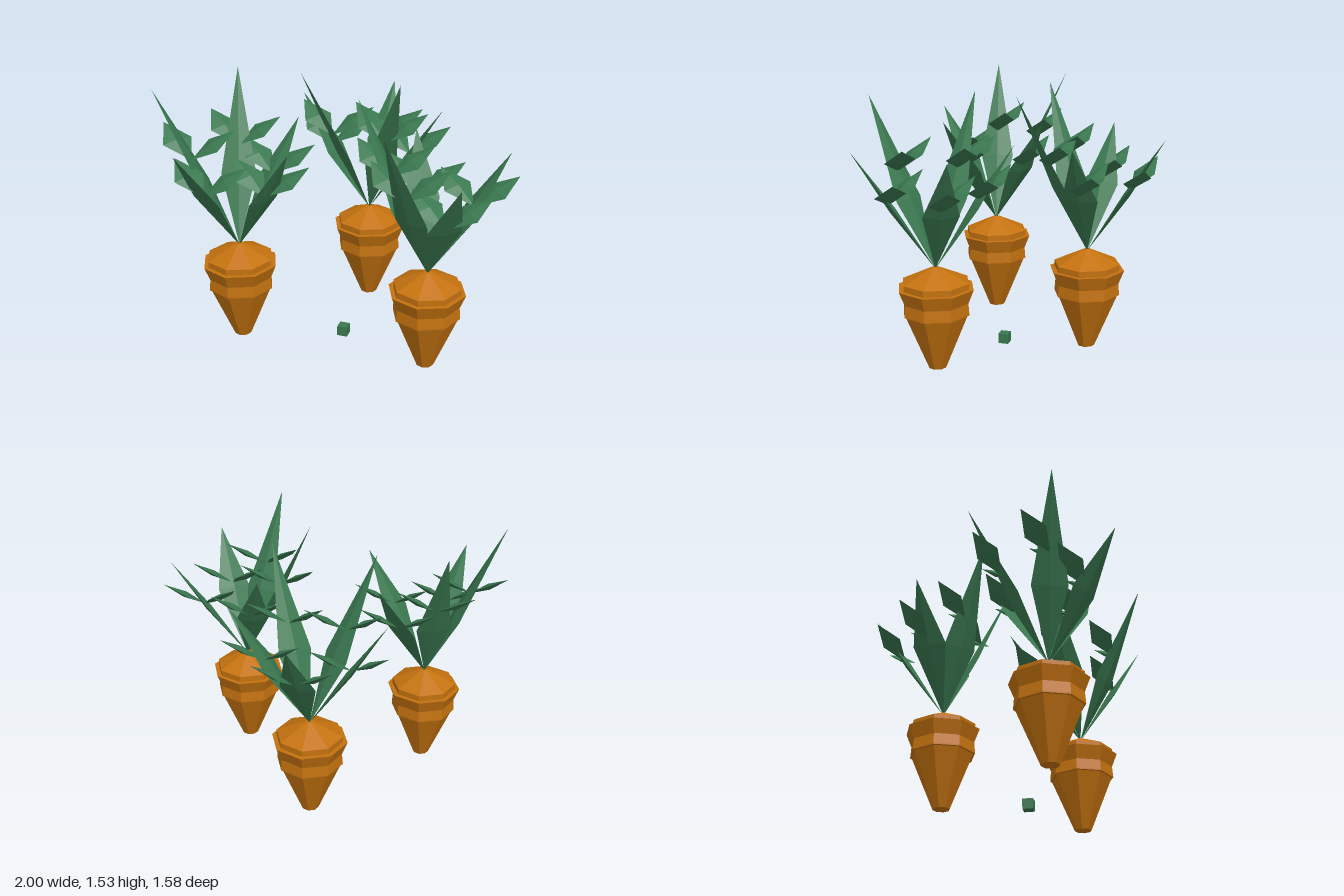
import * as THREE from 'three';
import { ConvexGeometry } from 'three/addons/geometries/ConvexGeometry.js';

const V = (x, y, z) => new THREE.Vector3(x, y, z);

export function createModel() {
  const orange = new THREE.MeshStandardMaterial({ color: 0xc4720f, flatShading: true });
  orange.name = 'carrotOrange';
  const green = new THREE.MeshStandardMaterial({ color: 0x3a7850, flatShading: true });
  green.name = 'leafGreen';

  const model = new THREE.Group();
  model.name = 'carrotPatch';

  const add = (parent, name, geometry, material) => {
    const mesh = new THREE.Mesh(geometry, material);
    mesh.name = name;
    parent.add(mesh);
    return mesh;
  };

  // Ridged kite: widest at fraction f between base and tip
  const kite = (base, tip, side, f, halfWidth, halfThick) => {
    const dir = tip.clone().sub(base).normalize();
    const s = side.clone().normalize();
    const n = s.clone().cross(dir).normalize();
    const mid = base.clone().lerp(tip, f);
    return new ConvexGeometry([
      base, tip,
      mid.clone().addScaledVector(s, halfWidth), mid.clone().addScaledVector(s, -halfWidth),
      mid.clone().addScaledVector(n, halfThick), mid.clone().addScaledVector(n, -halfThick),
    ]);
  };

  // Eight-sided root: cone, flared collar and sloping crown
  const profile = [
    [0, 0.04], [0.05, 0.04], [0.182, 0.36], [0.192, 0.362], [0.192, 0.37],
    [0.187, 0.43], [0.219, 0.51], [0.192, 0.51], [0.192, 0.545], [0.02, 0.625], [0, 0.625],
  ].map(([r, y]) => new THREE.Vector2(r, y));
  const rootGeo = new THREE.LatheGeometry(profile, 8);

  // Stalks: angle from the front of the plant and tip height
  const stalks = [
    [42.4, 1.535, 0.4], [-42.4, 1.535, 0.4],
    [94.5, 1.29, 0.52], [-94.5, 1.29, 0.52], [180, 1.29, 0.52],
  ];

  // Carrots: x, z and turn of the foliage
  const plants = [[-0.543, 0.371, -118], [0.01, -0.35, -3], [0.567, 0.371, -60.4]];

  for (const [px, pz, turn] of plants) {
    const carrot = new THREE.Group();
    carrot.name = 'carrot';
    carrot.position.set(px, 0, pz);
    model.add(carrot);
    add(carrot, 'root', rootGeo, orange);

    for (const [angle, top, widest] of stalks) {
      const a = THREE.MathUtils.degToRad(angle + turn);
      const base = V(0, 0.615, 0);
      const tip = V(0.44 * Math.sin(a), top, 0.44 * Math.cos(a));
      const tangent = V(Math.cos(a), 0, -Math.sin(a));
      add(carrot, 'stalkLeaf', kite(base, tip, tangent, widest, 0.1, 0.018), green);

      // Pair of small side leaves, all leaning the same way
      const joint = base.clone().lerp(tip, 0.56);
      for (const s of [-1, 1]) {
        const end = joint.clone().add(V(s * 0.217, 0.158, -0.115));
        add(carrot, 'sideLeaf', kite(joint, end, V(s * 0.11, -0.014, 0.136), 0.5, 0.088, 0.018), green);
      }
    }
  }

  // Small block on the ground
  const block = add(model, 'groundBlock', new THREE.BoxGeometry(0.06, 0.06, 0.06), green);
  block.position.set(0.01, 0.03, 0.15);

  return model;
}
